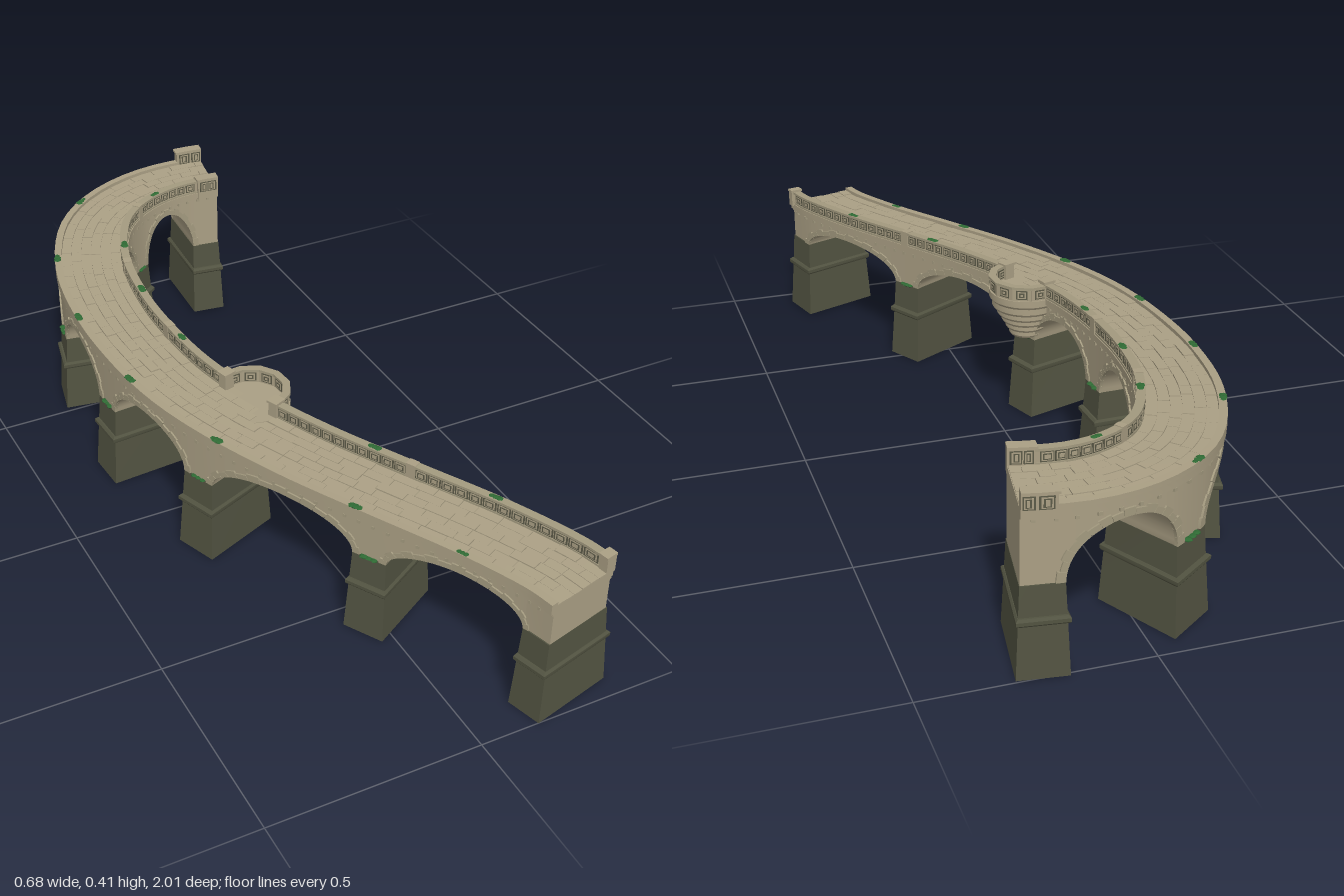
import * as THREE from 'three';
import { mergeGeometries, toCreasedNormals } from 'three/addons/utils/BufferGeometryUtils.js';

const mat = (name, color) => {
  const m = new THREE.MeshStandardMaterial({ color });
  m.name = name;
  return m;
};

export function createModel() {
  const group = new THREE.Group();
  group.name = 'curvedBridge';
  const stone = mat('pale stone', 0xaa9f84), paving = mat('paving stone', 0xaba085);
  const trim = mat('trim stone', 0xa39a7f), damp = mat('damp stone', 0x525341);
  const panel = mat('panel shade', 0x5c5a48), green = mat('moss', 0x2f6a34);

  let seed = 7;
  const rnd = () => (seed = (seed * 16807) % 2147483647) / 2147483647;

  // Plan of the road's centre line, from the front end to the back end
  const plan = [[.238, .966], [.221, .9], [.148, .74], [.035, .54], [-.075, .34], [-.168, .13], [-.214, -.03],
    [-.235, -.21], [-.235, -.38], [-.204, -.58], [-.128, -.755], [-.05, -.837], [.04, -.885], [.13, -.905],
    [.22, -.902], [.268, -.894]];
  const curve = new THREE.CatmullRomCurve3(plan.map(([x, z]) => new THREE.Vector3(x, 0, z)));
  curve.arcLengthDivisions = 400;
  const L = curve.getLength();
  const deck = s => .303 + .07 * s / L;
  // Point at distance s along the road, offset o towards the inner side, height y
  const P = (s, o, y) => {
    const c = Math.min(Math.max(s, 0), L), p = curve.getPointAt(c / L), t = curve.getTangentAt(c / L);
    return new THREE.Vector3(p.x + t.x * (s - c) - t.z * o, y, p.z + t.z * (s - c) + t.x * o);
  };
  const nearest = (x, z) => {
    let best = 0, d = 9;
    for (let s = 0; s < L; s += .004) {
      const p = P(s, 0, 0), e = Math.hypot(p.x - x, p.z - z);
      if (e < d) { d = e; best = s; }
    }
    return best;
  };

  // Closed solid through a row of convex rings, turned outward by its volume
  const loft = rings => {
    const tris = [], n = rings[0].length, last = rings[rings.length - 1];
    for (let r = 0; r + 1 < rings.length; r++) for (let i = 0; i < n; i++) {
      const j = (i + 1) % n, A = rings[r], B = rings[r + 1];
      tris.push([A[i], B[i], A[j]], [A[j], B[i], B[j]]);
    }
    for (let i = 1; i + 1 < n; i++) tris.push([rings[0][0], rings[0][i], rings[0][i + 1]], [last[0], last[i + 1], last[i]]);
    let vol = 0;
    const o = rings[0][0];
    for (const [a, b, c] of tris) {
      vol += a.clone().sub(o).dot(b.clone().sub(o).cross(c.clone().sub(o)));
    }
    const pos = [];
    for (const [a, b, c] of tris) for (const v of vol < 0 ? [a, c, b] : [a, b, c]) pos.push(v.x, v.y, v.z);
    const g = new THREE.BufferGeometry();
    g.setAttribute('position', new THREE.Float32BufferAttribute(pos, 3));
    g.computeVertexNormals();
    return g;
  };
  const ring = (s, o0, o1, y0, y1) => [P(s, o0, y0), P(s, o1, y0), P(s, o1, y1), P(s, o0, y1)];
  // Block that follows the road, heights measured from the deck
  const block = (s0, s1, o0, o1, y0, y1) => {
    const n = Math.max(1, Math.ceil((s1 - s0) / .04)), rings = [];
    for (let i = 0; i <= n; i++) {
      const s = s0 + (s1 - s0) * i / n;
      rings.push(ring(s, o0, o1, deck(s) + y0, deck(s) + y1));
    }
    return loft(rings);
  };
  const clean = g => {
    const n = g.index ? g.toNonIndexed() : g;
    n.deleteAttribute('uv');
    return n;
  };
  const add = (name, list, material) => {
    const m = new THREE.Mesh(toCreasedNormals(mergeGeometries(list.map(clean)), .5), material);
    m.name = name;
    group.add(m);
  };

  // Piers: centre and half thickness along the road
  const spring = .205, W = .087;
  const piers = [[.04, .04], ...[[.035, .54], [-.168, .13], [-.236, -.212], [-.212, -.55], [-.05, -.837]]
    .map(([x, z]) => [nearest(x, z), .041]), [L - .04, .04]];
  const shafts = [], bands = [], moss = [];
  const level = (s, h, w, y) => [P(s - h, -w, y), P(s + h, -w, y), P(s + h, w, y), P(s - h, w, y)];
  for (const [s, h] of piers) {
    shafts.push(loft([level(s, h + .009, .104, 0), level(s, h + .001, .09, spring)]));
    bands.push(loft([level(s, h + .007, .101, .12), level(s, h + .009, .104, .124),
      level(s, h + .009, .104, .132), level(s, h + .005, .099, .137)]));
  }
  add('pierShafts', shafts, damp);
  add('pierBands', bands, damp);

  // Arched wall and the ring stones on both faces of every arch
  const wall = [ring(0, -W, W, spring - .002, deck(0) - .002)], stones = [];
  for (let k = 0; k + 1 < piers.length; k++) {
    const a = piers[k][0] + piers[k][1], b = piers[k + 1][0] - piers[k + 1][1];
    const mid = (a + b) / 2, half = (b - a) / 2, rise = deck(mid) - .043 - spring, N = 28, M = 17;
    wall.push(ring(a - .0005, -W, W, spring - .002, deck(a) - .002));
    for (let i = 0; i <= N; i++) {
      const t = Math.PI * i / N, s = mid - half * Math.cos(t);
      wall.push(ring(s, -W, W, spring + rise * Math.sin(t), deck(s) - .002));
    }
    wall.push(ring(b + .0005, -W, W, spring - .002, deck(b) - .002));
    for (const side of [-1, 1]) for (let i = 0; i < M; i++) {
      const thick = i % 2 ? .012 : .017;
      const at = (t, e, o) => P(mid - (half + e) * Math.cos(t), side * o, spring + (rise + e) * Math.sin(t));
      stones.push(loft([0, .5, .97].map(f => {
        const t = Math.PI * (i + f) / M;
        return [at(t, -.001, W - .004), at(t, -.001, W + .004), at(t, thick, W + .004), at(t, thick, W - .004)];
      })));
    }
  }
  wall.push(ring(L, -W, W, spring - .002, deck(L) - .002));
  add('archedWall', [loft(wall)], stone);
  add('archRingStones', stones, trim);

  // Cornice with small blocks beneath it
  add('cornice', [block(0, L, -.095, .095, -.015, 0), block(0, L, -.091, .091, -.021, -.014)], stone);
  const dentils = [];
  for (let s = .03; s < L - .02; s += .036) for (const o of [-1, 1]) {
    const q = [o * (W - .002), o * (W + .005)];
    dentils.push(block(s, s + .007, Math.min(...q), Math.max(...q), -.028, -.02));
  }
  add('corniceBlocks', dentils, trim);

  // Paving in staggered rows
  const slabs = [], rows = 6, rw = .152 / rows;
  for (let r = 0; r < rows; r++) {
    for (let s = 0; s < L - .005;) {
      const e = Math.min(L, s + .035 + rnd() * .035), o = -.077 + r * rw;
      slabs.push(block(s, e - .0015, o, o + rw - .0012, -.002, .0015 + rnd() * .0025));
      s = e;
    }
  }
  add('pavingSlabs', slabs, paving);

  // Low kerb on the outer side
  add('outerKerb', [block(0, L, -.095, -.077, 0, .011)], stone);

  // Parapet with framed panels on the inner side, open at the balcony
  const sb = piers[2][0], open = .084, body = [], caps = [], dark = [], frames = [], posts = [];
  const framed = (s0, s1, o, y0, y1) => {
    const lay = (list, m, d) => list.push(block(s0 + m, s1 - m, o - d, o + d, y0 + m * .8, y1 - m * .8));
    lay(dark, 0, .0008); lay(frames, .0035, .0018); lay(dark, .0065, .0024); lay(frames, .0095, .003);
  };
  const stops = [.02, ...piers.slice(1, -1).map(p => p[0]), L - .06];
  for (let k = 0; k + 1 < stops.length; k++) {
    const a = stops[k] + (k === 2 ? open : 0), b = stops[k + 1] - (k === 1 ? open : 0);
    body.push(block(a, b, .078, .091, 0, .031));
    caps.push(block(a, b, .075, .095, .03, .036), block(a, b, .076, .093, 0, .005));
    const n = Math.floor((b - a - .02) / .032), step = (b - a - .02) / n;
    for (let i = 0; i < n; i++) {
      const s = a + .01 + i * step;
      framed(s + .003, s + step - .003, .0912, .0065, .0285);
      framed(s + .001, s + step - .001, .0778, .0055, .0295);
    }
  }
  for (const s of stops.slice(1, -1)) if (s !== sb) posts.push(block(s - .012, s + .012, .0745, .0955, 0, .038));
  add('parapetWall', body, stone);
  add('parapetRails', caps, trim);

  // End posts
  posts.push(block(0, .024, .072, .1, -.004, .04), block(0, .027, .07, .102, .036, .042));
  for (const o of [-1, 1]) {
    const [o0, o1] = o < 0 ? [-.1, -.077] : [.077, .1];
    posts.push(block(L - .064, L, o0, o1, -.018, .038), block(L - .067, L, o0 - .003, o1 + .002, .036, .042));
    for (const f of [o0, o1]) for (const s of [L - .058, L - .029]) framed(s, s + .025, f, .004, .033);
  }

  // Round balcony: stepped corbel below, faceted parapet above
  const c = P(sb, W, deck(sb)), out = P(sb, 1, 0).sub(P(sb, 0, 0)), face = Math.atan2(out.x, out.z);
  const steps = [[.042, -.118, -.1], [.051, -.1, -.082], [.061, -.082, -.064], [.072, -.064, -.044], [.084, -.044, -.022], [.091, -.022, .001]];
  const profile = [new THREE.Vector2(0, -.118)];
  for (const [r, y0, y1] of steps) profile.push(new THREE.Vector2(r - .004, y0), new THREE.Vector2(r, y0 + .006), new THREE.Vector2(r, y1));
  profile.push(new THREE.Vector2(0, .001));
  add('balconyCorbel', [new THREE.LatheGeometry(profile, 28).translate(c.x, c.y, c.z)], stone);
  const facets = [], facetCaps = [], n = 6, arc = Math.PI * 1.0 / n;
  const around = (list, w, h, d, y, r, a) =>
    list.push(new THREE.BoxGeometry(w, h, d).translate(0, y, r).rotateY(face + a).translate(c.x, c.y, c.z));
  for (let i = 0; i < n; i++) {
    const a = (i - (n - 1) / 2) * arc;
    around(facets, .045, .032, .011, .016, .081, a);
    around(facetCaps, .049, .006, .018, .034, .081, a);
    for (const s of [-1, 1]) {
      const r = .081 + s * .0056;
      around(dark, .028, .023, .0016, .0165, r, a);
      around(frames, .021, .017, .0034, .0165, r, a);
      around(dark, .014, .011, .0046, .0165, r, a);
      around(frames, .007, .005, .0058, .0165, r, a);
    }
  }
  for (const s of [sb - open, sb + open]) {
    posts.push(block(s - .012, s + .012, .07, .096, 0, .04), block(s - .015, s + .015, .067, .099, .038, .044));
  }
  add('balconyParapet', facets, stone);
  add('balconyRail', facetCaps, trim);
  add('posts', posts, stone);
  add('panelRecesses', dark, panel);
  add('panelFrames', frames, stone);

  // Moss tufts on the walls and pier ledges
  const tuft = (p, size) => moss.push(new THREE.IcosahedronGeometry(size, 0).scale(1.1, .4, 1.1).rotateY(rnd() * 6).translate(p.x, p.y, p.z));
  for (let s = .2; s < L - .1; s += .29) {
    const e = s + rnd() * .1, t = s + .05 + rnd() * .1;
    for (let i = 0; i < 3; i++) {
      tuft(P(e + i * .009, -.088, deck(e) + .011), .006 + rnd() * .004);
      if (Math.abs(t - sb) > open) tuft(P(t + i * .009, .086, deck(t) + .036), .006 + rnd() * .004);
    }
  }
  for (const [s] of piers.slice(1, -1)) for (const o of [-.089, .089]) for (let i = -1; i < 2; i++) {
    tuft(P(s + i * .013, o, spring), .007 + rnd() * .003);
  }
  add('mossTufts', moss, green);
  return group;
}
